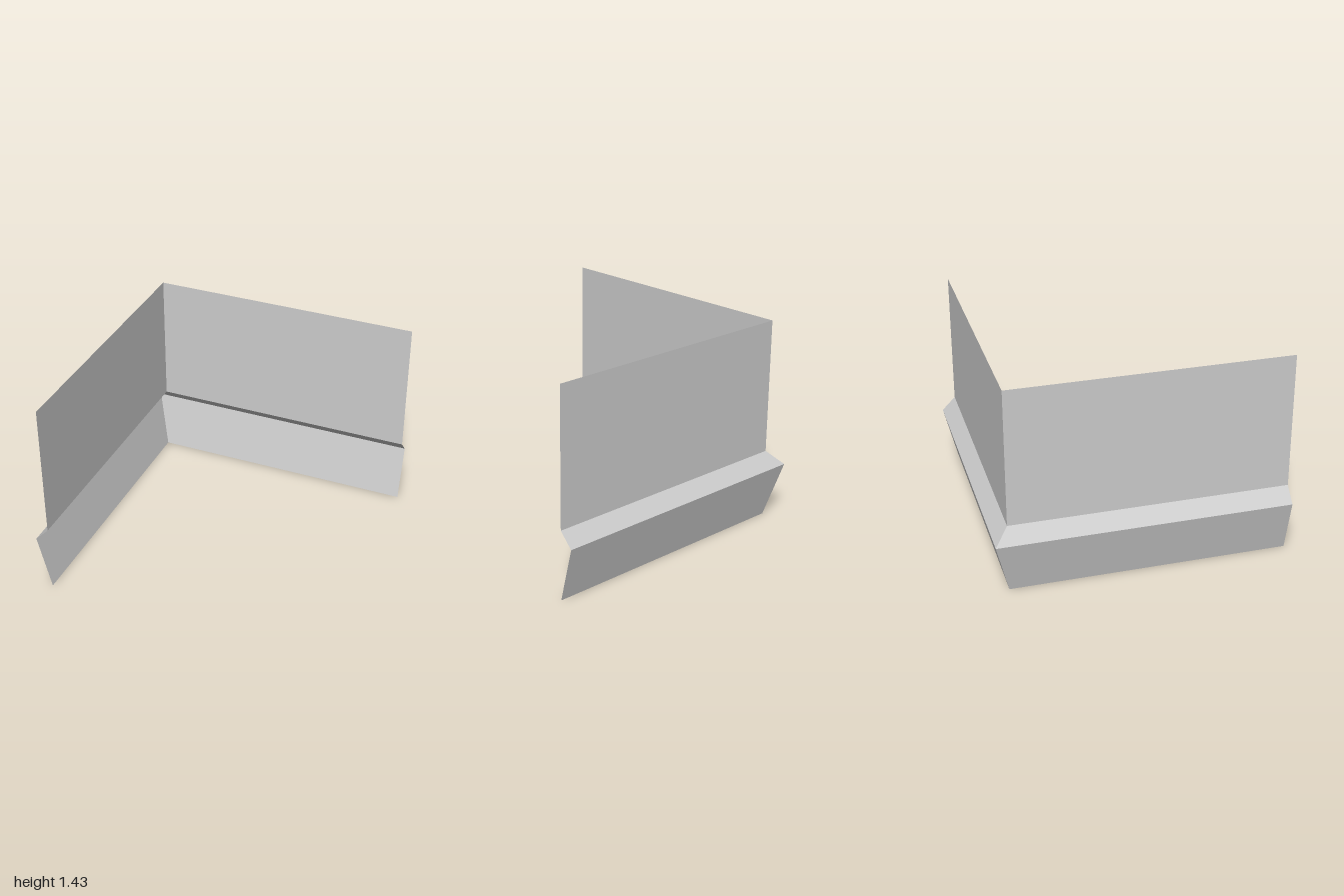
import * as THREE from 'three';

// Wall section from bottom to top: [offset of the sheet along x or z, height]
const PROFILE = [[-0.905, 0], [-1, 0.383], [-0.905, 0.48], [-0.905, 1.43]];
const BANDS = ['lowerSkirt', 'slopedLedge', 'upperWall'];
const END = 1;

// One flat strip of the back wall, mitred at the corner
function bandGeometry([a, ya], [b, yb]) {
  const corners = [a, ya, a, END, ya, a, END, yb, b, b, yb, b];
  const geometry = new THREE.BufferGeometry();
  geometry.setAttribute('position', new THREE.Float32BufferAttribute(corners, 3));
  geometry.setIndex([0, 1, 2, 0, 2, 3]);
  geometry.computeVertexNormals();
  return geometry;
}

// Mirror across the diagonal x = z, keeping the inside face as the front
function mirrorDiagonal(geometry) {
  const mirrored = geometry.clone();
  const p = mirrored.attributes.position;
  for (let i = 0; i < p.count; i++) p.setXYZ(i, p.getZ(i), p.getY(i), p.getX(i));
  mirrored.setIndex([0, 2, 1, 0, 3, 2]);
  mirrored.computeVertexNormals();
  return mirrored;
}

export function createModel() {
  const model = new THREE.Group();
  model.name = 'cornerWall';
  const grey = new THREE.MeshStandardMaterial({ color: 0xcccccc, side: THREE.DoubleSide, flatShading: true });
  grey.name = 'light grey';

  const backWall = new THREE.Group();
  backWall.name = 'backWall';
  const rightWall = new THREE.Group();
  rightWall.name = 'rightWall';
  model.add(backWall, rightWall);

  // Skirt, ledge and upper sheet of both walls
  BANDS.forEach((name, i) => {
    const geometry = bandGeometry(PROFILE[i], PROFILE[i + 1]);
    const back = new THREE.Mesh(geometry, grey);
    const right = new THREE.Mesh(mirrorDiagonal(geometry), grey);
    back.name = right.name = name;
    backWall.add(back);
    rightWall.add(right);
  });
  return model;
}
